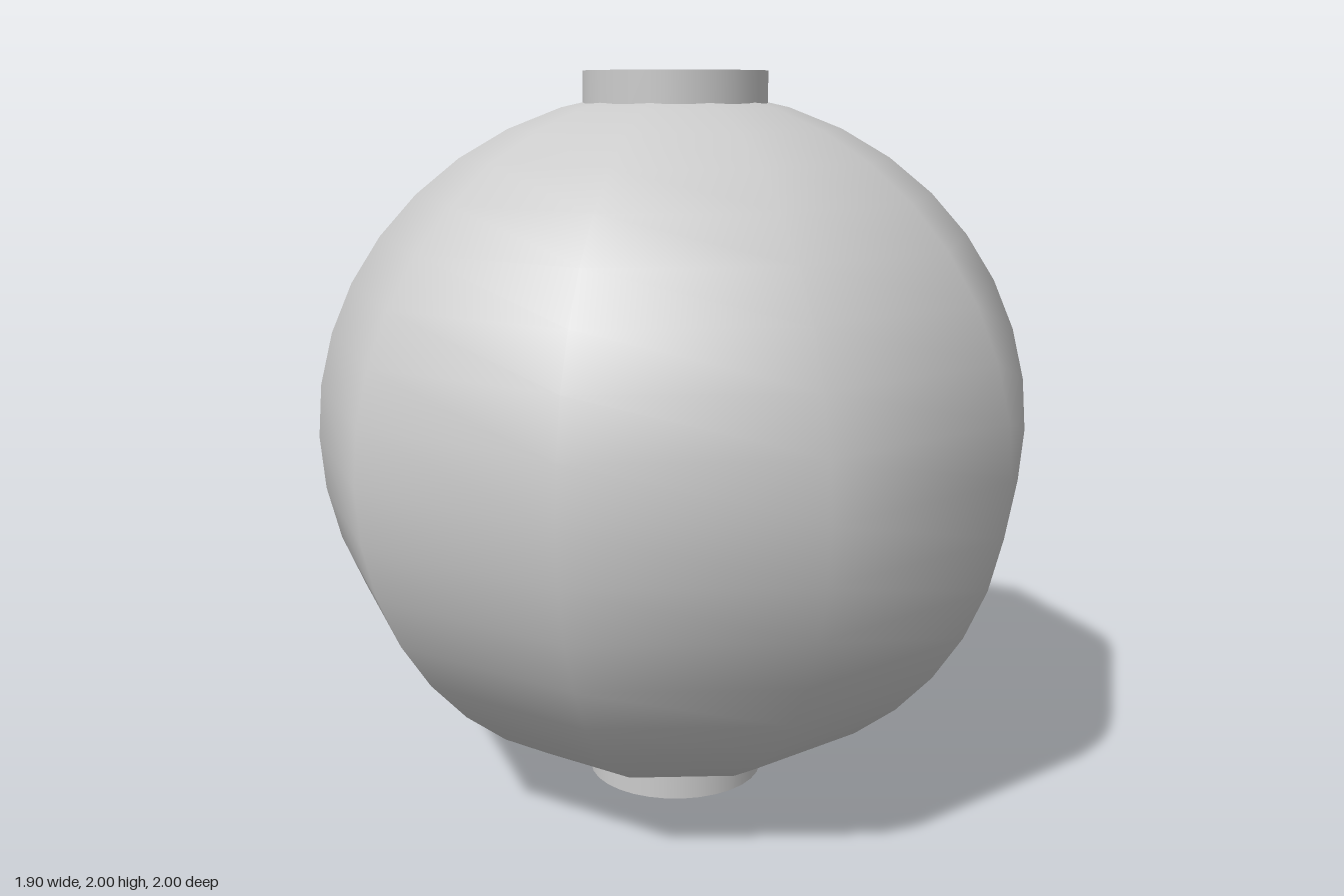
import * as THREE from 'three';

export function createModel() {
  const model = new THREE.Group();
  const material = new THREE.MeshStandardMaterial({ color: 0xcccccc });

  // Ten-sided lantern body with smooth normals, corners pointing to front and back
  const bodyGeometry = new THREE.SphereGeometry(1, 10, 20);
  bodyGeometry.rotateY(Math.PI / 2);
  bodyGeometry.scale(1, 0.95, 1);
  const body = new THREE.Mesh(bodyGeometry, material);
  body.name = 'lanternBody';
  body.position.y = 1;
  model.add(body);

  // Round caps at the top and bottom, set slightly into the body
  const capHeight = 0.1;
  const capGeometry = new THREE.CylinderGeometry(0.25, 0.25, capHeight, 32);
  for (const [name, y] of [['topCap', 2 - capHeight / 2], ['bottomCap', capHeight / 2]]) {
    const cap = new THREE.Mesh(capGeometry, material);
    cap.name = name;
    cap.position.y = y;
    model.add(cap);
  }

  return model;
}
